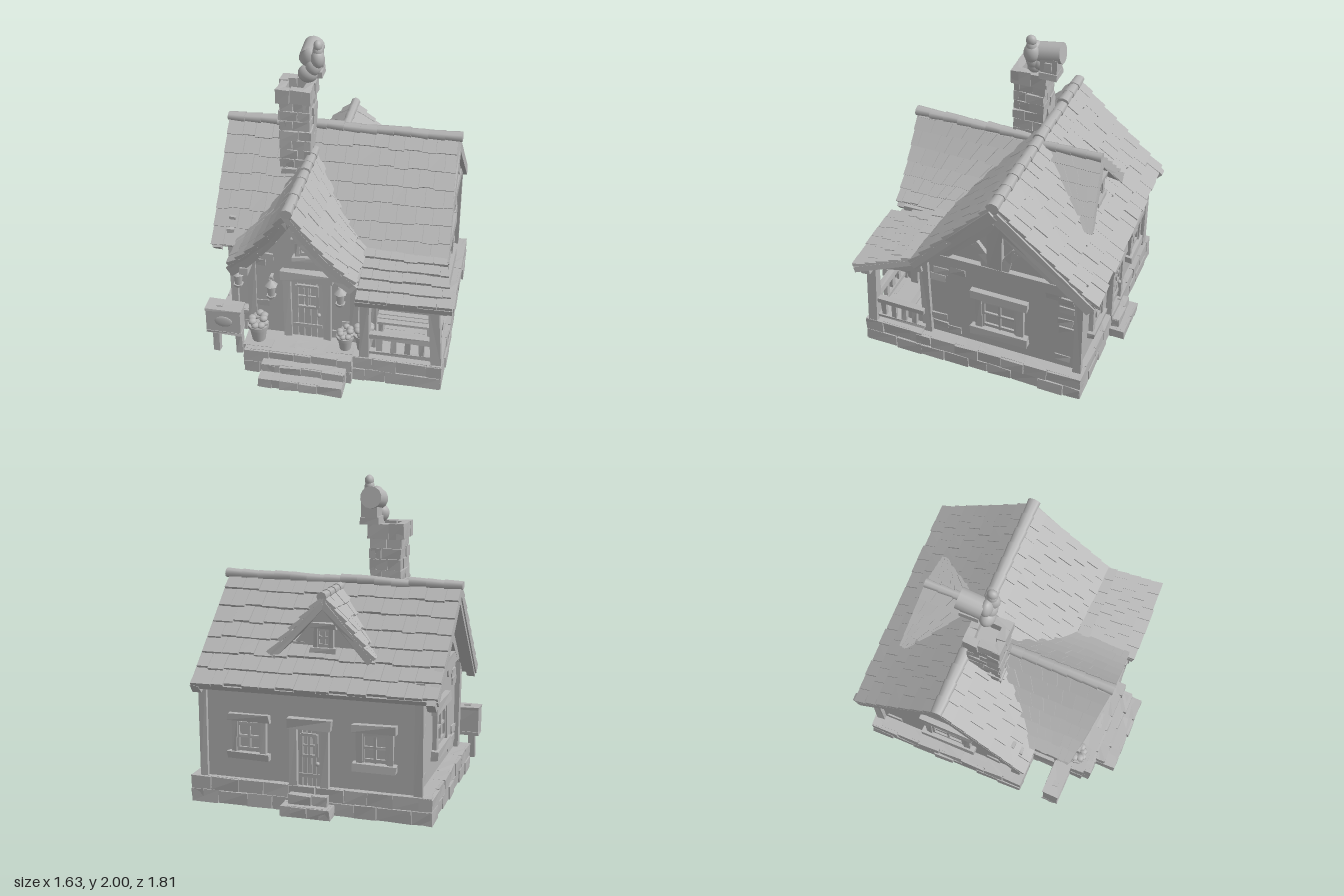
import * as THREE from 'three';
import { mergeGeometries } from 'three/addons/utils/BufferGeometryUtils.js';

const V = (x, y, z) => new THREE.Vector3(x, y, z);
let seed = 7;
const rnd = () => ((seed = (seed * 16807) % 2147483647) / 2147483647);
const jit = a => (rnd() - 0.5) * 2 * a;
const lerp = (a, b, t) => a + (b - a) * t;

// Six-sided solid from 8 corners; corner index bits: 1 = +x, 2 = +y, 4 = +z
function hexa(p) {
  const e = i => p[i].clone().sub(p[0]);
  const flip = e(1).cross(e(2)).dot(e(4)) < 0 ? 1 : 0;
  const g = new THREE.BoxGeometry(1, 1, 1).toNonIndexed(), a = g.attributes.position;
  for (let i = 0; i < a.count; i++) {
    const k = (a.getX(i) > 0 ? 1 : 0) + (a.getY(i) > 0 ? 2 : 0) + (a.getZ(i) > 0 ? 4 : 0);
    const c = p[k ^ flip];
    a.setXYZ(i, c.x, c.y, c.z);
  }
  g.computeVertexNormals();
  return g;
}
// Slightly irregular block, centred at x, y, z
function block(x, y, z, w, h, d, j = 0.004) {
  return hexa([...Array(8).keys()].map(k => V(x + (k & 1 ? w : -w) / 2 + jit(j),
    y + (k & 2 ? h : -h) / 2 + jit(j), z + (k & 4 ? d : -d) / 2 + jit(j))));
}
// Timber between two points
function beam(a, b, w, h = w, j = 0.004) {
  const m = new THREE.Matrix4().lookAt(a, b, V(0, 1, 0)).setPosition(a.clone().lerp(b, 0.5));
  return block(0, 0, 0, w, h, a.distanceTo(b), j).applyMatrix4(m);
}
const cyl = (x, y, z, r0, r1, h, n = 12) => new THREE.CylinderGeometry(r0, r1, h, n).translate(x, y, z);
const ball = (x, y, z, rx, ry = rx, rz = rx, n = 16) =>
  new THREE.SphereGeometry(1, n, Math.ceil(n * 0.7)).scale(rx, ry, rz).translate(x, y, z);
const place = (list, x, y, z, ry = 0) => list.map(g => g.rotateY(ry).translate(x, y, z));
function prism(pts, depth) {
  return new THREE.ExtrudeGeometry(new THREE.Shape(pts.map(p => new THREE.Vector2(...p))),
    { depth, bevelEnabled: false });
}

// Tiles over a surface P(u, v); v runs down the slope; lift = [top low, top high, bottom low, bottom high]
function tiles(P, nu, nv, lift, rough = 1) {
  const out = [];
  for (let r = 0; r < nv; r++) {
    const shift = rough * (r % 2 ? 0.3 : -0.1) / nu;
    const cuts = [...Array(nu + 1).keys()].map(i => i === 0 || i === nu ? i / nu : i / nu + shift + jit(0.17 * rough / nu));
    for (let c = 0; c < nu; c++) {
      const v0 = Math.max(0, (r - 0.12 * rough) / nv), v1 = (r + 1 + jit(0.07) * rough) / nv;
      const raise = rough * jit(0.003), gap = 0.015 * rough / nu;
      const q = [[cuts[c] + gap, v1], [cuts[c + 1] - gap, v1], [cuts[c] + gap, v0], [cuts[c + 1] - gap, v0]].map(k => P(...k));
      const n = q[1].clone().sub(q[0]).cross(q[2].clone().sub(q[0])).normalize();
      if (n.y < 0) n.negate();
      const at = (i, d) => q[i].clone().addScaledVector(n, d + raise);
      out.push(hexa([at(0, lift[2]), at(1, lift[2]), at(2, lift[0]), at(3, lift[0]),
        at(0, lift[3]), at(1, lift[3]), at(2, lift[1]), at(3, lift[1])]));
    }
  }
  return out;
}
const roof = (P, nu, nv) => [...tiles(P, nu, nv, [-0.01, 0.01, 0.004, 0.029]),
  ...tiles(P, 1, nv, [-0.04, 0, -0.04, 0], 0)];

// Rings of stones round a rectangle, in courses
function masonry(x0, x1, z0, z1, y0, y1, rows, len, depth, core = true) {
  const out = [], h = (y1 - y0) / rows, d = depth;
  for (let r = 0; r < rows; r++) {
    const y = y0 + (r + 0.5) * h;
    const run = (a, b, put) => {
      const n = Math.max(1, Math.round((b - a) / len));
      const cuts = [...Array(n + 1).keys()].map(i =>
        i % n === 0 ? lerp(a, b, i / n) : lerp(a, b, (i + (r % 2 ? 0.25 : -0.15) + jit(0.15)) / n));
      for (let i = 0; i < n; i++) put((cuts[i] + cuts[i + 1]) / 2, cuts[i + 1] - cuts[i] - 0.005, jit(0.006));
    };
    for (const [z, s] of [[z0, 1], [z1, -1]])
      run(x0, x1, (x, w, o) => out.push(block(x, y, z + s * d / 2 + o, w, h - 0.005, d)));
    for (const [x, s] of [[x0, 1], [x1, -1]])
      run(z0, z1, (z, w, o) => out.push(block(x + s * d / 2 + o, y, z, d, h - 0.005, w)));
  }
  if (core) out.push(block((x0 + x1) / 2, (y0 + y1) / 2 - 0.002, (z0 + z1) / 2, x1 - x0 - 0.03, y1 - y0, z1 - z0 - 0.03, 0));
  return out;
}
// Window facing +z, centred at the origin
function windowSet(w, h, lintel = 0.06, t = 0.04) {
  return [block(0, 0, 0, w, h, 0.01, 0),
    ...[-1, 1].flatMap(s => [block(s * w / 2, 0, 0.01, t, h + t, 0.04),
      block(s * w * 0.4, 0, 0.008, 0.022, h, 0.025, 0.001), block(0, s * h * 0.42, 0.008, w, 0.022, 0.025, 0.001)]),
    block(0, 0, 0.008, 0.016, h, 0.022, 0.001), block(0, 0, 0.008, w, 0.016, 0.022, 0.001),
    block(0, h / 2 + lintel / 2, 0.014, w + 2.4 * t, lintel, 0.055, 0.006),
    block(0, -h / 2 - lintel / 2, 0.016, w + 2.4 * t, lintel * 0.9, 0.06, 0.005)];
}
// Plank door facing +z, standing on y = 0
function door(w, h) {
  return [...[-2, -1, 0, 1, 2].map(i => block(i * w / 5, h / 2, 0.005, w / 5 - 0.004, h, 0.025, 0.001)),
    ...[-1, 1].map(s => block(s * (w / 2 + 0.025), h / 2, 0.012, 0.05, h, 0.05)),
    block(0, h + 0.03, 0.016, w + 0.13, 0.065, 0.07, 0.006),
    ...[-1, 1].flatMap(s => [block(s * w * 0.32, h * 0.72, 0.022, 0.018, h * 0.38, 0.02, 0.001),
      block(0, h * 0.72 + s * h * 0.18, 0.022, w * 0.64, 0.018, 0.02, 0.001)]),
    block(0, h * 0.72, 0.022, 0.012, h * 0.36, 0.015, 0), block(0, h * 0.72, 0.022, w * 0.6, 0.012, 0.015, 0),
    block(0, h * 0.2, 0.02, w * 0.9, 0.025, 0.012, 0.001), ball(w * 0.36, h * 0.42, 0.03, 0.014, 0.014, 0.014, 8)];
}
const lantern = () => [cyl(0, 0, 0, 0.026, 0.02, 0.07, 6), cyl(0, 0.05, 0, 0.008, 0.038, 0.035, 6), cyl(0, -0.042, 0, 0.03, 0.024, 0.016, 6),
  new THREE.TorusGeometry(0.014, 0.004, 6, 10).translate(0, 0.075, 0), block(0, 0.08, -0.02, 0.014, 0.014, 0.05, 0.001)].map(g => g.scale(1.15, 1.15, 1.15));
function flowerPot(s) {
  const out = [cyl(0, 0.045, 0, 0.05, 0.036, 0.09), cyl(0, 0.09, 0, 0.058, 0.056, 0.022)];
  for (let i = 0; i < 9; i++) out.push(ball(Math.cos(i * 2.4) * 0.035, 0.11 + (i % 3) * 0.018, Math.sin(i * 2.4) * 0.035, 0.024, 0.017, 0.024, 7));
  return out.map(g => g.scale(s, s, s));
}

export function createModel() {
  const house = new THREE.Group();
  const grey = new THREE.MeshStandardMaterial({ color: 0xb4b4b4 });
  grey.name = 'stone grey';
  const add = (name, list) => {
    const m = new THREE.Mesh(mergeGeometries(list.map(g => {
      const n = g.index ? g.toNonIndexed() : g;
      n.deleteAttribute('uv');
      return n;
    })), grey);
    m.name = name;
    house.add(m);
  };

  // Stone footing, porch and steps
  add('foundation', [...masonry(-0.765, 0.775, -0.8, 0.34, 0, 0.17, 2, 0.17, 0.08),
    ...masonry(-0.52, 0.775, 0.3, 0.705, 0, 0.18, 2, 0.17, 0.08)]);
  add('frontSteps', [...masonry(-0.37, 0.17, 0.6, 0.9, 0, 0.07, 1, 0.15, 0.09),
    ...masonry(-0.37, 0.17, 0.6, 0.82, 0.06, 0.125, 1, 0.14, 0.09), ...masonry(-0.5, 0.2, 0.6, 0.755, 0, 0.18, 2, 0.15, 0.08)]);
  add('backSteps', [...masonry(-0.16, 0.15, -0.9, -0.75, 0, 0.07, 1, 0.14, 0.07), ...masonry(-0.13, 0.12, -0.845, -0.75, 0.06, 0.13, 1, 0.12, 0.05)]);

  // Walls
  const wallX = { '-1': -0.67, 1: 0.685 }, backZ = -0.755;
  add('mainWalls', [prism([[-0.27, 0.16], [-backZ, 0.16], [-backZ, 0.8], [0.2, 1.27], [-0.27, 0.8]], 1.355).rotateY(Math.PI / 2).translate(-0.67, 0, 0)]);
  const wingY = d => 1.225 - 1.55 * d + 1.0 * d * d;
  const half = [0, 0.08, 0.16, 0.24, 0.32].map(d => [d, wingY(d) - 0.06]);
  add('frontWing', [prism([[-0.5, 0.17], [0.2, 0.17], [0.2, 0.72], ...half.slice().reverse().map(([d, y]) => [d - 0.2, y]),
    ...half.slice(1).map(([d, y]) => [-0.2 - d, y]), [-0.5, 0.72]], 0.4).translate(0, 0, 0.13)]);
  const patches = [];
  for (const s of [-1, 1]) for (const [z, y] of [[0.18, 0.7], [0.06, 0.73], [0.2, 0.64], [0.19, 0.24], [0.1, 0.22], [0.2, 0.31],
    [-0.66, 0.72], [-0.58, 0.74], [-0.67, 0.65], [-0.66, 0.55], [-0.67, 0.48], [-0.65, 0.24]])
    patches.push(block(wallX[s], y, z, 0.02, 0.05, 0.1, 0.005));
  for (const [x, y] of [[-0.43, 0.72], [-0.38, 0.77], [0.13, 0.66], [0.12, 0.72], [0.14, 0.3], [-0.42, 0.4], [0.08, 0.22]])
    patches.push(block(x, y, 0.53, 0.08, 0.045, 0.018, 0.004));
  add('exposedBricks', patches);

  // Main roof
  const mainFront = (u, v) => V(lerp(-0.8, 0.725 + 0.03 * v, u), 1.34 - (0.65 - 0.055 * u) * v, lerp(-0.2, 0.365, v));
  const mainBack = (u, v) => V(lerp(-0.8, 0.73, u), 1.34 - 0.57 * v - 0.05 * v * (1 - v), -0.2 - (0.62 + 0.04 * u) * v);
  add('mainRoofFront', roof(mainFront, 14, 7));
  add('mainRoofBack', roof(mainBack, 14, 7));
  const ridge = [];
  for (let i = 0; i < 14; i++) ridge.push(cyl(0, 0, 0, 0.036, 0.043, 0.115, 8).rotateZ(Math.PI / 2 + jit(0.05)).scale(1, 0.75, 1).translate(-0.75 + i * 0.111, 1.348 + jit(0.008), -0.2));
  for (let i = 0; i < 8; i++) ridge.push(cyl(0, 0, 0, 0.04, 0.033, 0.108, 8).rotateX(Math.PI / 2 + jit(0.05)).scale(1, 0.8, 1).translate(-0.2, 1.227 + jit(0.006), -0.03 + i * 0.102));
  for (let i = 0; i < 4; i++) ridge.push(cyl(0, 0, 0, 0.026, 0.032, 0.11, 8).rotateX(Math.PI / 2).translate(-0.03, 1.312, -0.27 - i * 0.1));
  add('ridgeTiles', ridge);

  // Swept roof of the front wing
  for (const s of [-1, 1]) add(s < 0 ? 'wingRoofRight' : 'wingRoofLeft', roof((u, v) => {
    const d = 0.41 * v, y = wingY(d) - (s < 0 ? 0.03 * v : 0);
    return V(-0.2 + s * d, y, lerp(-0.23 + (1.34 - y) / 1.09, 0.73 - (s < 0 ? 0.25 : 0.03) * d, u));
  }, 7, 6));
  // Lean-to porch roof
  add('porchRoof', roof((u, v) => V(lerp(0.21, 0.74, u) + 0.07 * u * v + 0.015 * v, 0.775 - 0.12 * v, lerp(0.34, 0.755, v) - 0.02 * v * u), 6, 5));
  // Rear dormer
  for (const s of [-1, 1]) add(s < 0 ? 'dormerRoofRight' : 'dormerRoofLeft', roof((u, v) => {
    const y = 1.305 - 0.355 * v;
    return V(-0.04 + s * 0.325 * v, y, lerp(-0.17 - (1.34 - y) / 0.87, -0.625 - 0.055 * v, u));
  }, 4, 5));
  add('dormerWall', [prism([[-0.3, 0.94], [0.22, 0.94], [-0.04, 1.25]], 0.12).translate(0, 0, -0.59)]);
  add('dormerFrame', [...place(windowSet(0.1, 0.12, 0.03, 0.025), -0.04, 1.06, -0.595, Math.PI),
    ...[-1, 1].map(s => beam(V(-0.04, 1.27, -0.615), V(-0.04 + s * 0.31, 0.94, -0.655), 0.04, 0.045))]);

  // Timber framing, mirrored on both gables
  const timber = [];
  for (const s of [-1, 1]) {
    const x = wallX[s] + s * 0.008, e = s < 0 ? -0.765 : 0.715;
    timber.push(beam(V(x, 0.16, 0.275), V(x, 0.8, 0.295), 0.05, 0.06), beam(V(x, 0.16, backZ), V(x, 0.8, backZ), 0.05),
      block(x, 0.82, -0.24, 0.05, 0.075, 1.02), block(x, 1.03, -0.2, 0.05, 0.42, 0.1),
      beam(V(e, 1.285, -0.2), V(e, s < 0 ? 0.665 : 0.715, 0.36), 0.055, 0.07), beam(V(e, 1.285, -0.2), V(e, 0.735, -0.83), 0.055, 0.07),
      beam(V(x, 1.2, -0.2), V(x, 0.79, 0.22), 0.045, 0.06), beam(V(x, 1.2, -0.2), V(x, 0.81, -0.66), 0.045, 0.06));
    for (const k of [-1, 1]) {
      const arc = [[0.06, 0.85], [0.08, 0.94], [0.13, 1.01], [0.2, 1.06]].map(([d, y]) => V(x, y, -0.2 + k * d));
      for (let i = 0; i < 3; i++) timber.push(beam(arc[i], arc[i + 1].clone().lerp(arc[i], -0.1), 0.04, 0.055, 0.002));
    }
  }
  // Swept bargeboards and corner posts of the wing
  for (const s of [-1, 1]) {
    const p = [0, 0.1, 0.2, 0.3, 0.4].map(d => V(-0.2 + s * d, wingY(d) - 0.055 - (s < 0 ? 0.07 * d : 0), 0.7 - (s < 0 ? 0.25 : 0.03) * d));
    for (let i = 0; i < 4; i++) timber.push(beam(p[i], p[i + 1].clone().lerp(p[i], -0.06), 0.05, 0.07, 0.003));
    timber.push(block(-0.15 + s * 0.335, 0.45, 0.52, 0.055, 0.56, 0.06), beam(V(-0.15 + s * 0.355, 0.72, 0.3), V(-0.15 + s * 0.355, 0.72, 0.66), 0.05));
  }
  timber.push(block(-0.2, 1.13, 0.66, 0.05, 0.12, 0.05));
  add('timberFrame', timber);

  // Porch posts, beams and railings
  const porch = [block(0.275, 0.4, 0.655, 0.06, 0.46, 0.06), beam(V(0.735, 0.17, 0.655), V(0.705, 0.65, 0.655), 0.065), block(0.31, 0.4, 0.56, 0.05, 0.46, 0.05)];
  porch.push(block(0.51, 0.62, 0.67, 0.56, 0.05, 0.06), beam(V(0.71, 0.62, 0.7), V(0.71, 0.71, 0.3), 0.05),
    block(0.5, 0.345, 0.66, 0.42, 0.04, 0.045), block(0.5, 0.215, 0.66, 0.42, 0.025, 0.035), block(0.725, 0.345, 0.47, 0.045, 0.04, 0.36), block(0.73, 0.215, 0.47, 0.035, 0.025, 0.36));
  for (let i = 0; i < 4; i++) porch.push(block(0.37 + i * 0.09, 0.28, 0.66, 0.034, 0.11, 0.025, 0.004), block(0.728, 0.28, 0.36 + i * 0.075, 0.025, 0.11, 0.034, 0.004));
  add('porch', porch);
  const bench = [-0.16, 0.16].map(x => block(0.5 + x, 0.22, 0.38, 0.03, 0.1, 0.12));
  for (let i = 0; i < 3; i++) bench.push(block(0.5, 0.275, 0.335 + i * 0.045, 0.38, 0.018, 0.04, 0.002));
  add('bench', bench);

  // Windows and doors
  for (const s of [-1, 1]) add(s < 0 ? 'sideWindowRight' : 'sideWindowLeft', place(windowSet(0.28, 0.23, 0.065, 0.045), wallX[s], 0.455, -0.225, s * Math.PI / 2));
  for (const x of [-0.41, 0.39]) add('backWindow', place(windowSet(0.19, 0.19, 0.05, 0.035), x, 0.445, backZ, Math.PI));
  add('porchWindow', place(windowSet(0.17, 0.22, 0.045), 0.49, 0.465, 0.27));
  add('gableWindow', place(windowSet(0.11, 0.1, 0.03, 0.03), 0, 0, 0).map(g => g.rotateZ(0.07).translate(-0.123, 0.868, 0.53)));
  add('frontDoor', place(door(0.21, 0.45), -0.12, 0.18, 0.53));
  add('backDoor', place(door(0.15, 0.37), 0, 0.16, backZ, Math.PI));

  // Chimney
  add('chimney', [...masonry(-0.4, -0.2, -0.165, 0.045, 1.0, 1.62, 9, 0.095, 0.04, false), ...masonry(-0.42, -0.19, -0.18, 0.06, 1.61, 1.71, 1, 0.11, 0.055, false),
    block(-0.3, 1.31, -0.06, 0.17, 0.62, 0.18, 0)]);
  // Billowing smoke with a tiny barrel-roofed hut resting on it
  add('smoke', [ball(-0.24, 1.765, -0.09, 0.065, 0.06, 0.05), ball(-0.205, 1.815, -0.085, 0.05, 0.06, 0.045),
    ball(-0.175, 1.875, -0.085, 0.044, 0.065, 0.05), ball(-0.172, 1.965, -0.085, 0.028, 0.036, 0.034), ball(-0.174, 1.925, -0.085, 0.032, 0.045, 0.033),
    ball(-0.225, 1.865, -0.1, 0.055, 0.07, 0.04), ball(-0.22, 1.8, -0.12, 0.05, 0.06, 0.045)]);
  add('tinyHut', [block(-0.22, 1.79, -0.2, 0.1, 0.13, 0.11), block(-0.22, 1.735, -0.2, 0.12, 0.045, 0.12),
    cyl(0, 0, 0, 0.068, 0.068, 0.16, 14).rotateX(Math.PI / 2 + 0.15).translate(-0.235, 1.868, -0.195), block(-0.17, 1.8, -0.2, 0.02, 0.06, 0.05)]);

  // Lanterns, flower pots and the box on posts
  for (const [x, y, z] of [[-0.35, 0.54, 0.575], [0.1, 0.54, 0.575], [-0.57, 0.59, 0.56]]) add('lantern', place(lantern(), x, y, z));
  for (const [x, z, s] of [[-0.43, 0.63, 1.2], [0.14, 0.62, 1], [0.26, 0.6, 1.25]]) add('flowerPot', place(flowerPot(s), x, 0.18, z));
  add('postBox', [block(-0.67, 0.27, 0.57, 0.23, 0.18, 0.1), block(-0.67, 0.36, 0.57, 0.24, 0.02, 0.12), block(-0.67, 0.18, 0.57, 0.235, 0.02, 0.11),
    ball(-0.67, 0.27, 0.62, 0.06, 0.04, 0.008), block(-0.7, 0.372, 0.575, 0.04, 0.008, 0.035, 0),
    ...[-0.735, -0.58].map(x => block(x, 0.09, 0.57, 0.045, 0.18, 0.045))]);
  return house;
}
